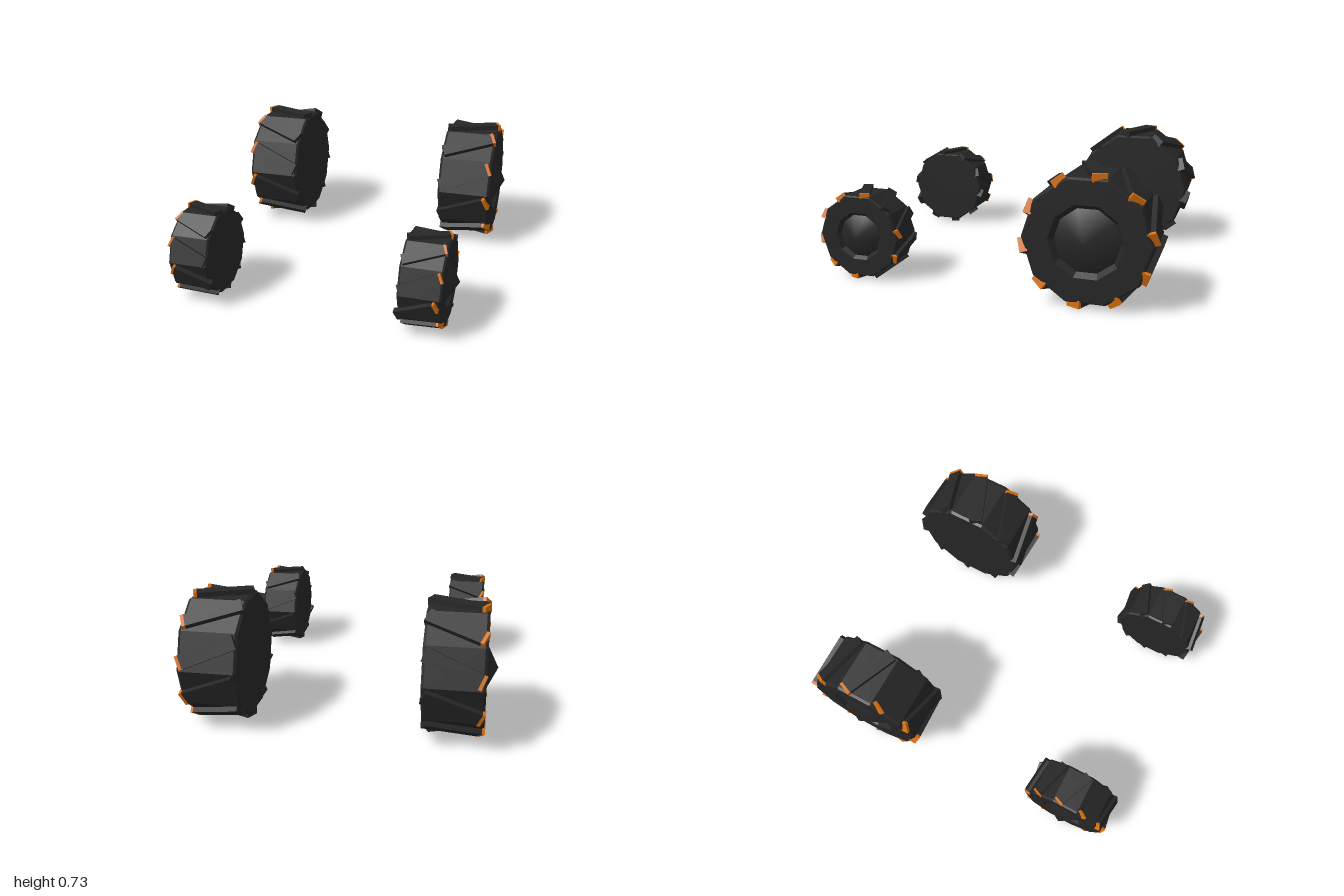
import * as THREE from 'three';
import { toCreasedNormals } from 'three/addons/utils/BufferGeometryUtils.js';

const rubber = new THREE.MeshStandardMaterial({ color: 0x262626 });
rubber.name = 'black rubber';
const orange = new THREE.MeshStandardMaterial({ color: 0xd9700f });
orange.name = 'orange accent';

const SIDES = 10;

function part(geometry, material, name) {
  const mesh = new THREE.Mesh(geometry, material);
  mesh.name = name;
  return mesh;
}

// Ten-sided solid of revolution whose axis points outward along side * x
function turned(profile, side, crease) {
  const points = profile.map(([r, h]) => new THREE.Vector2(r, h));
  const geometry = new THREE.LatheGeometry(points, SIDES);
  geometry.rotateZ(-side * Math.PI / 2);
  return toCreasedNormals(geometry, crease);
}

// One slanted tread lug, with an orange cap on its outer end
function makeLug(side, s, hasCap) {
  const length = 0.335 * s, height = 0.045 * s, width = 0.08 * s, cap = 0.018 * s;
  const lug = new THREE.Group();
  lug.name = 'treadLug';
  const bar = part(new THREE.BoxGeometry(length - cap, height, width), rubber, 'lugBar');
  bar.position.x = -side * cap / 2;
  const tip = part(new THREE.BoxGeometry(cap, height, width), hasCap ? orange : rubber, 'lugCap');
  tip.position.x = side * (length - cap) / 2;
  lug.add(bar, tip);
  lug.position.y = 0.365 * s - height / 2;
  lug.rotation.y = side * 0.4;
  return lug;
}

function makeWheel(name, side, s, tip, isFront) {
  const wheel = new THREE.Group();
  wheel.name = name;
  const half = 0.165 * s, R = 0.354 * s;

  // Tyre: flat inner face, narrow bevels, recess in the outer face
  wheel.add(part(turned([
    [0, -half], [R * 0.97, -half], [R, -half + 0.015 * s], [R, half - 0.015 * s],
    [R * 0.97, half], [0.206 * s, half], [0.18 * s, half - 0.035 * s], [0, half - 0.035 * s],
  ], side, 0.2), rubber, 'tyre'));

  // Pointed hub rising out of the recess
  wheel.add(part(turned([[0.18 * s, half - 0.034 * s], [0, tip]], side, 1.2), rubber, 'hub'));

  // Tread
  for (let k = 0; k < SIDES; k++) {
    const spoke = new THREE.Group();
    spoke.name = 'treadSegment';
    spoke.rotation.x = k * Math.PI * 2 / SIDES;
    const plain = isFront && side > 0 && (k === 6 || k === 9);
    const lug = makeLug(side, s, !plain);
    if (isFront && k === 3) {
      // one loose lug, slipped inward
      lug.position.x = -side * 0.015;
      lug.position.y += 0.006;
    }
    spoke.add(lug);
    wheel.add(spoke);
  }
  return wheel;
}

export function createModel() {
  const model = new THREE.Group();
  model.name = 'wheelSet';
  for (const side of [1, -1]) {
    const label = side > 0 ? 'Left' : 'Right';
    const rear = makeWheel('rear' + label + 'Wheel', side, 1, 0.222, false);
    rear.position.set(side * 0.652, 0.376, -0.62);
    const front = makeWheel('front' + label + 'Wheel', side, 0.7, 0.168, true);
    front.position.set(side * 0.648, 0.264, 0.725);
    model.add(rear, front);
  }
  return model;
}
